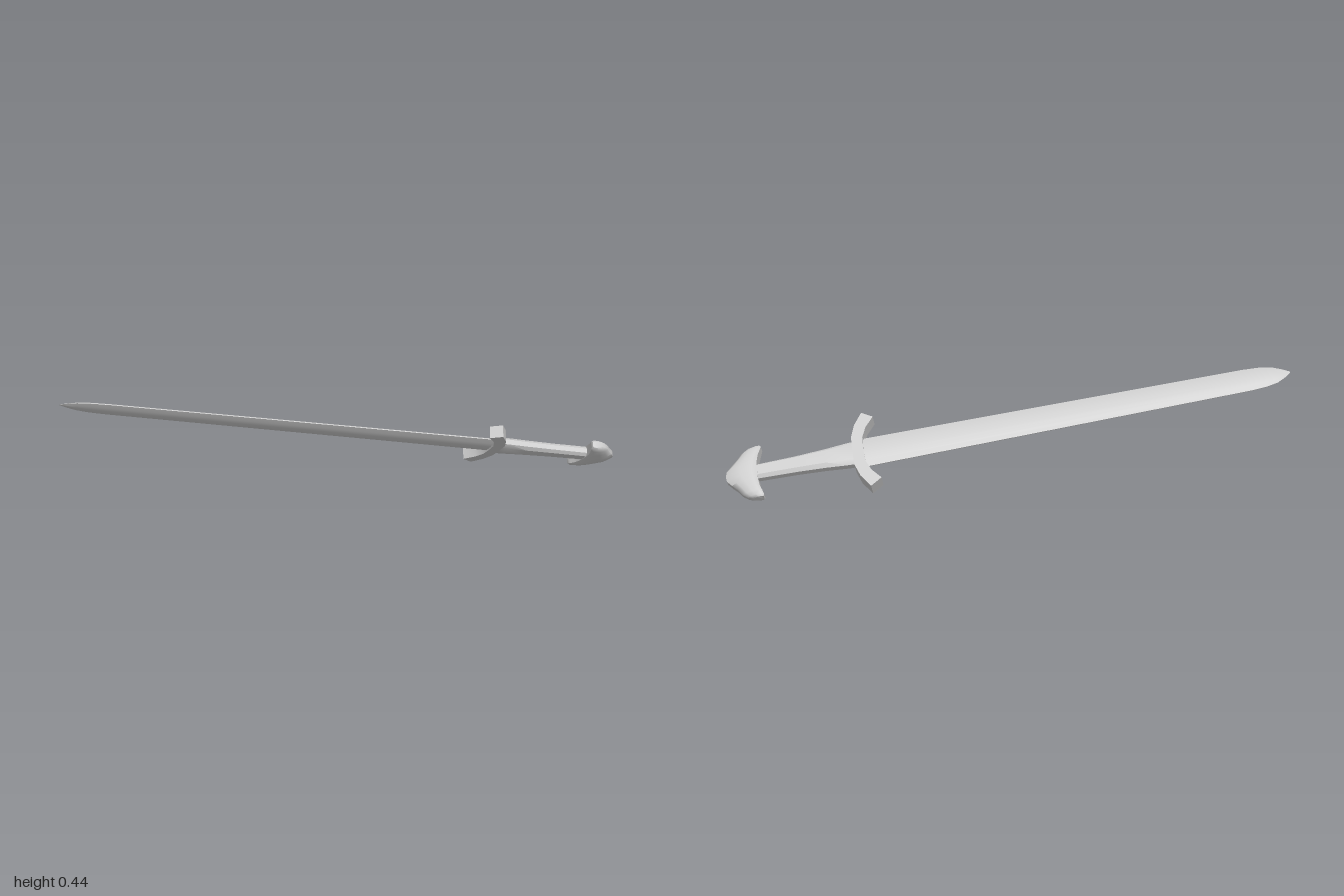
import * as THREE from 'three';
import { toCreasedNormals } from 'three/addons/utils/BufferGeometryUtils.js';

const material = new THREE.MeshStandardMaterial({ color: 0xcccccc });

// Joins equal-sized rings of [x, y, z] points into a closed solid; rings run
// counter-clockwise as seen from the far end.
function loft(name, rings, crease) {
  const n = rings[0].length;
  const pos = [];
  const tri = (a, b, c) => pos.push(...a, ...b, ...c);
  for (let i = 0; i < rings.length - 1; i++) {
    for (let j = 0; j < n; j++) {
      const k = (j + 1) % n;
      tri(rings[i][j], rings[i][k], rings[i + 1][k]);
      tri(rings[i][j], rings[i + 1][k], rings[i + 1][j]);
    }
  }
  const first = rings[0], last = rings[rings.length - 1];
  for (let j = 1; j < n - 1; j++) {
    tri(first[0], first[j + 1], first[j]);
    tri(last[0], last[j], last[j + 1]);
  }
  const geo = new THREE.BufferGeometry();
  geo.setAttribute('position', new THREE.Float32BufferAttribute(pos, 3));
  const mesh = new THREE.Mesh(toCreasedNormals(geo, crease), material);
  mesh.name = name;
  return mesh;
}

// Cross-section outlines as [thickness, width] factors
const lens = [[1, -0.3], [1, 0.3], [0.65, 0.65], [0.08, 1], [-0.08, 1], [-0.65, 0.65],
  [-1, 0.3], [-1, -0.3], [-0.65, -0.65], [-0.08, -1], [0.08, -1], [0.65, -0.65]];
const octagon = [[1, -0.65], [1, 0.65], [0.45, 1], [-0.45, 1],
  [-1, 0.65], [-1, -0.65], [-0.45, -1], [0.45, -1]];

// Loft along x from stations of [x, half width, half thickness]
const alongX = (name, outline, stations, crease) => loft(name,
  stations.map(([x, w, t]) => outline.map(([a, b]) => [x, a * t, b * w])), crease);

// Mirrors stations of [z, ...] given from the centre outwards
const mirrorZ = (half) => [...half.slice(1).reverse().map(([z, ...r]) => [-z, ...r]), ...half];

export function createModel() {
  const sword = new THREE.Group();
  sword.name = 'sword';

  // Blade with a rounded point, widening towards the guard
  sword.add(alongX('blade', lens, [
    [-2.073, 0.003, 0.001], [-2.05, 0.02, 0.005], [-2.015, 0.039, 0.009],
    [-1.97, 0.049, 0.012], [-1.91, 0.053, 0.013], [-0.49, 0.066, 0.016],
  ], 0.6));

  // Grip narrowing towards the pommel
  sword.add(alongX('grip', octagon, [
    [-0.49, 0.054, 0.021], [-0.44, 0.052, 0.021], [-0.36, 0.044, 0.02],
    [-0.25, 0.037, 0.019], [-0.11, 0.033, 0.019],
  ], 0.6));

  // Guard, a square bar with both ends bent towards the point: [z, x, half thickness]
  const guard = mirrorZ([[0, -0.478, 0.022], [0.06, -0.48, 0.022], [0.11, -0.496, 0.022], [0.16, -0.528, 0.022]]);
  sword.add(loft('guard', guard.map(([z, x, t]) => {
    const lean = z * 0.09; // ends are cut square to the bend
    return [[x - 0.02, -t, z - lean], [x + 0.02, -t, z + lean],
      [x + 0.02, t, z + lean], [x - 0.02, t, z - lean]];
  }), 0.5));

  // Pommel, a rounded cap with a broad base: [z, base x, crown x, half thickness]
  const pommel = mirrorZ([
    [0, -0.115, 0, 0.029], [0.022, -0.115, -0.004, 0.029], [0.045, -0.116, -0.021, 0.028],
    [0.07, -0.12, -0.042, 0.026], [0.095, -0.128, -0.058, 0.022], [0.11, -0.132, -0.075, 0.018],
    [0.118, -0.13, -0.095, 0.012],
  ]);
  sword.add(loft('pommel', pommel.map(([z, x0, x1, t]) =>
    [[0, -0.7], [0.15, -1], [0.5, -1], [0.8, -0.75], [1, -0.3],
      [1, 0.3], [0.8, 0.75], [0.5, 1], [0.15, 1], [0, 0.7]]
      .map(([u, v]) => [x0 + (x1 - x0) * u, v * t, z])), 0.9));

  // Lean the sword: long axis, then width direction square to it
  const axis = new THREE.Vector3(2, -0.36, 0.41).normalize();
  const width = new THREE.Vector3(-0.052, 0.61, 0.79);
  width.addScaledVector(axis, -width.dot(axis)).normalize();
  const normal = new THREE.Vector3().crossVectors(width, axis);
  sword.quaternion.setFromRotationMatrix(new THREE.Matrix4().makeBasis(axis, normal, width));
  sword.position.set(1, 0.06, 0.175);

  // Centre it and stand it on the ground
  const model = new THREE.Group();
  model.add(sword);
  model.updateMatrixWorld(true);
  const box = new THREE.Box3().setFromObject(model, true);
  const centre = box.getCenter(new THREE.Vector3());
  sword.position.sub(new THREE.Vector3(centre.x, box.min.y, centre.z));
  return model;
}
